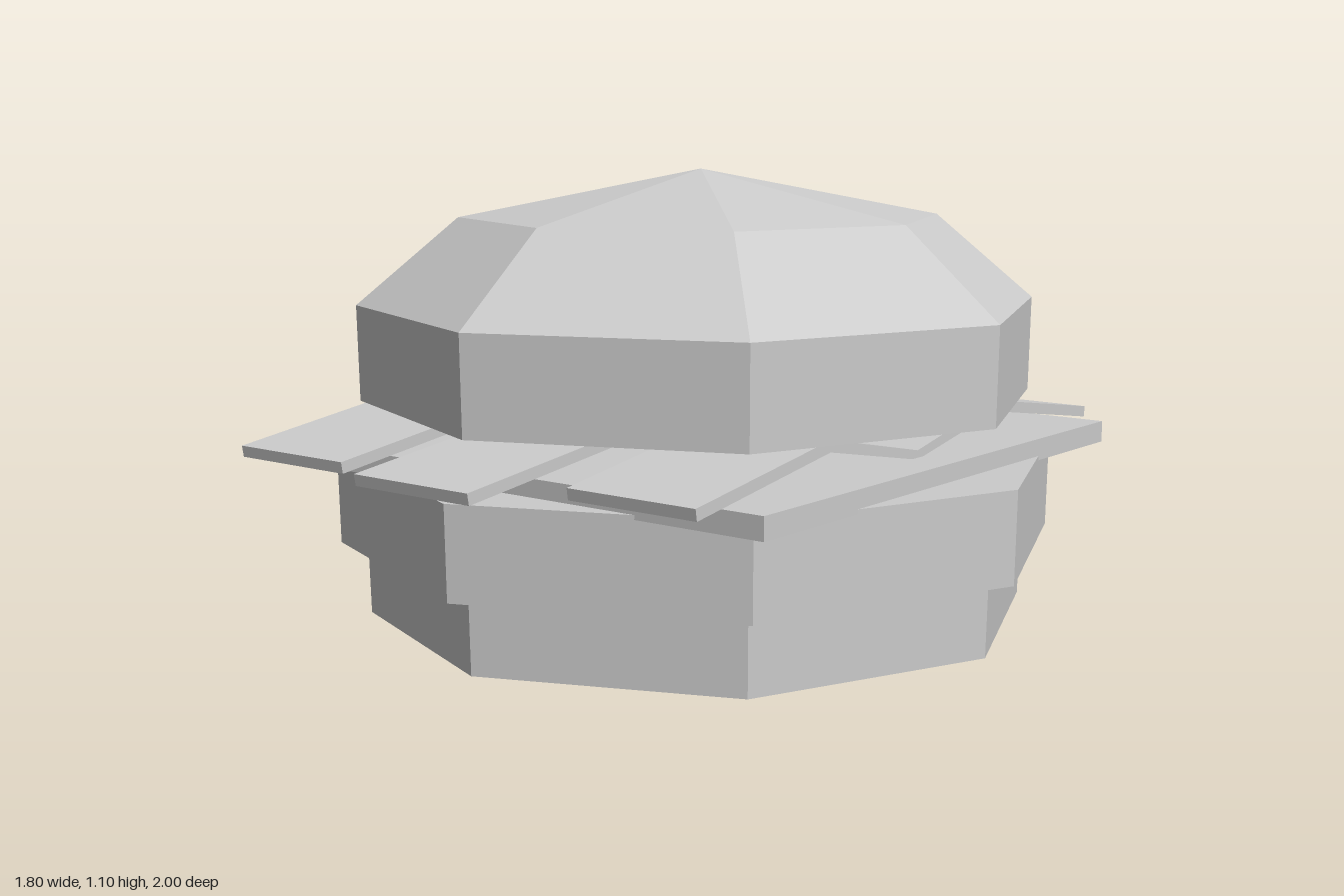
import * as THREE from 'three';

const material = new THREE.MeshStandardMaterial({ color: 0xcccccc, flatShading: true });

function addPart(group, name, geometry, x = 0, y = 0, z = 0) {
  const mesh = new THREE.Mesh(geometry, material);
  mesh.name = name;
  mesh.position.set(x, y, z);
  group.add(mesh);
  return mesh;
}

// Eight-sided turned solid from [radius, height] points, bottom to top
function octagon(points) {
  return new THREE.LatheGeometry(points.map(([r, y]) => new THREE.Vector2(r, y)), 8);
}

// Zigzag strip running along z: low in the middle, two peaks, drooping ends
function stripGeometry(halfLength, width) {
  const top = [[-1, 0.462], [-0.43, 0.535], [0, 0.462], [0.43, 0.535], [1, 0.462]];
  const bottom = [[0.995, 0.435], [0.43, 0.508], [0, 0.44], [-0.43, 0.508], [-0.995, 0.435]];
  const outline = [...top, ...bottom].map(([z, y]) => new THREE.Vector2(z * halfLength, y));
  const geometry = new THREE.ExtrudeGeometry(new THREE.Shape(outline), { depth: width, bevelEnabled: false });
  geometry.translate(0, 0, -width / 2);
  geometry.rotateY(-Math.PI / 2);
  return geometry;
}

export function createModel() {
  const burger = new THREE.Group();
  burger.name = 'burger';

  // Bun base and patty
  addPart(burger, 'bottomBun', octagon([[0, 0], [0.825, 0], [0.83, 0.18], [0, 0.18]]));
  addPart(burger, 'patty', octagon([[0, 0.18], [0.895, 0.18], [0.9, 0.402], [0, 0.402]]));

  // Square cheese slice
  addPart(burger, 'cheeseSlice', new THREE.BoxGeometry(1.47, 0.053, 1.47), 0, 0.418, 0);

  // Three bacon strips of different lengths
  const strips = [[-0.47, 0.923], [0, 1], [0.465, 0.83]];
  strips.forEach(([x, halfLength], i) => {
    addPart(burger, `baconStrip${i + 1}`, stripGeometry(halfLength, 0.343), x);
  });

  // Domed bun top
  addPart(burger, 'topBun', octagon([[0, 0.533], [0.84, 0.533], [0.845, 0.768], [0.595, 0.98], [0, 1.095]]));

  return burger;
}
